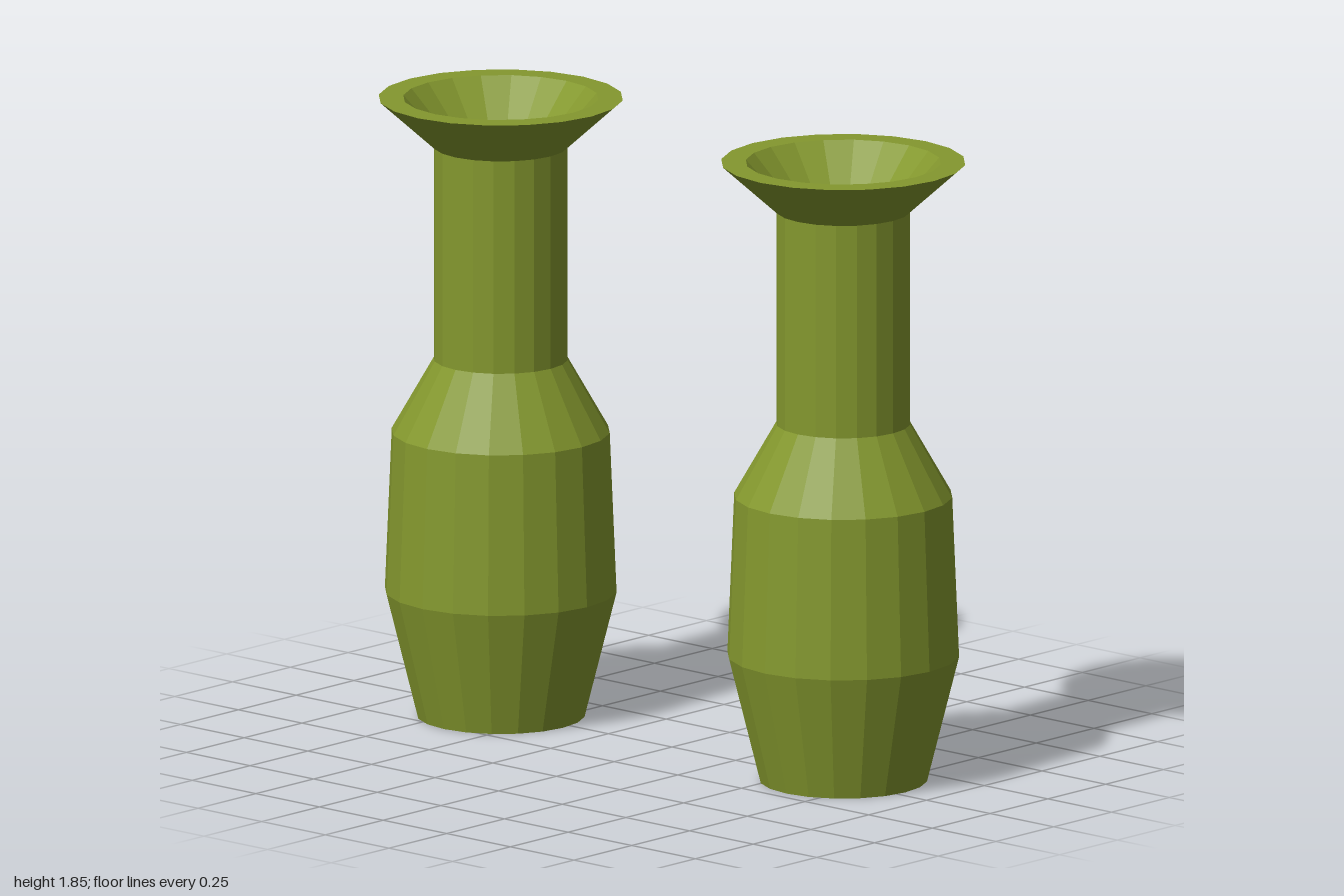
import * as THREE from 'three';

export function createModel() {
  const group = new THREE.Group();
  const material = new THREE.MeshStandardMaterial({ color: 0x84982e, flatShading: true });

  // Outer wall, upwards from the base to the flared lip
  const outer = [[0, 0], [0.245, 0], [0.339, 0.375], [0.319, 0.85], [0.196, 1.065], [0.196, 1.7], [0.357, 1.845]];
  // Inner wall, back down through the funnel and neck to the floor
  const inner = [[0.285, 1.845], [0.155, 1.7], [0.155, 1.055], [0.278, 0.83], [0.298, 0.38], [0.213, 0.04], [0, 0.04]];
  const profile = [...outer, ...inner].map(([r, y]) => new THREE.Vector2(r, y));
  const geometry = new THREE.LatheGeometry(profile, 20);

  // A pair of vases, slightly staggered in depth
  for (const side of [-1, 1]) {
    const vase = new THREE.Mesh(geometry, material);
    vase.name = side > 0 ? 'leftVase' : 'rightVase';
    vase.position.set(side * 0.643, 0, side * -0.033);
    group.add(vase);
  }
  return group;
}
